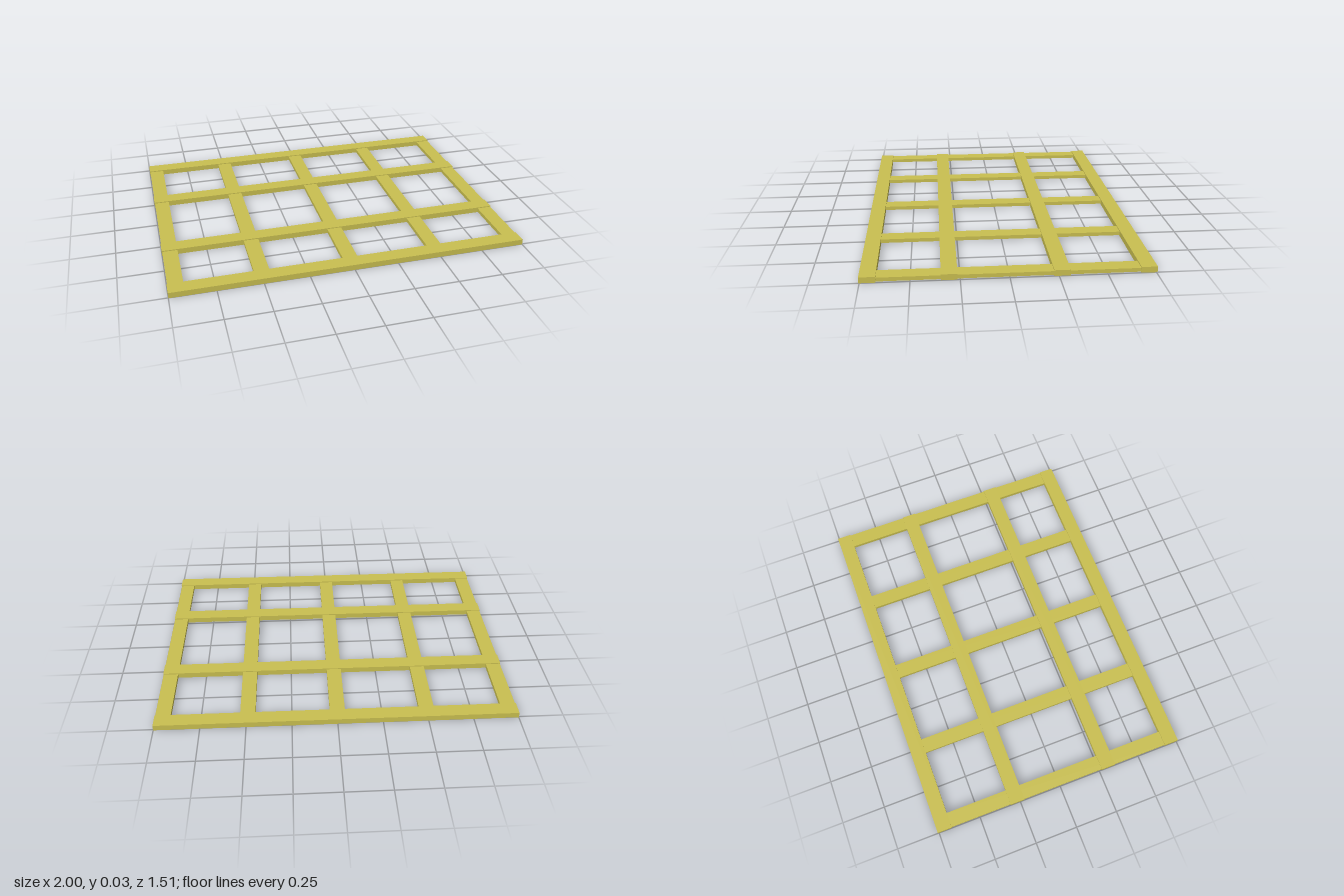
import * as THREE from 'three';

const WIDTH = 0.084;

export function createModel() {
  const group = new THREE.Group();
  group.name = 'lattice';
  const wood = new THREE.MeshStandardMaterial({ color: 0xc9bf50 });
  wood.name = 'yellow wood';

  function addBar(name, sx, sy, sz, x, z) {
    const bar = new THREE.Mesh(new THREE.BoxGeometry(sx, sy, sz), wood);
    bar.name = name;
    bar.position.set(x, 0.016, z);
    group.add(bar);
  }

  // Thicker rails running the full width
  [-0.714, -0.267, 0.305, 0.712].forEach((z, i) =>
    addBar(`rail${i + 1}`, 2, 0.032, WIDTH, 0, z));

  // Thinner crossbars running front to back, ending inside the outer rails
  [-0.955, -0.497, -0.002, 0.492, 0.956].forEach((x, i) =>
    addBar(`crossbar${i + 1}`, WIDTH, 0.021, 1.48, x, 0));

  return group;
}
